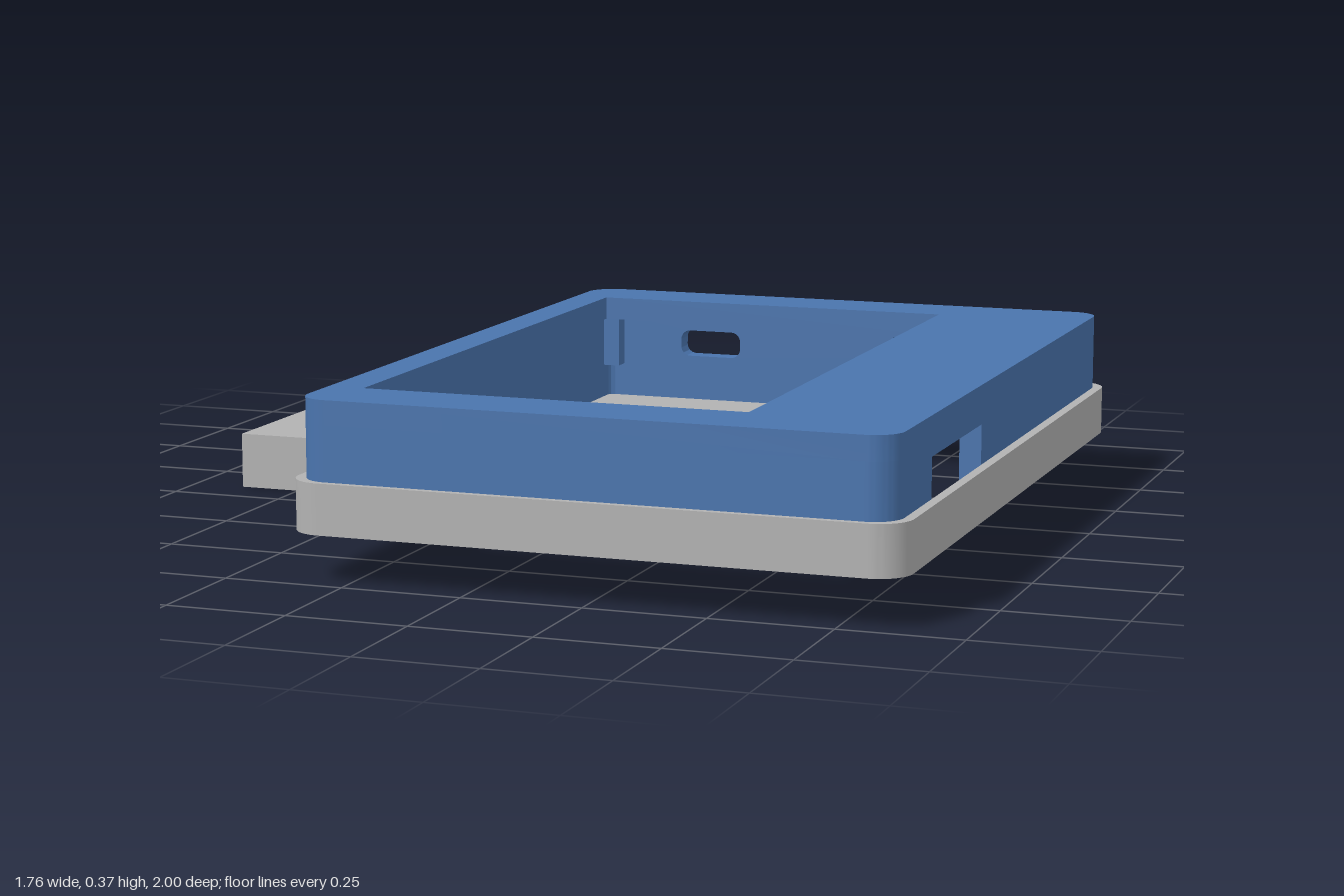
import * as THREE from 'three';
import { toCreasedNormals } from 'three/addons/utils/BufferGeometryUtils.js';

export function createModel() {
  const group = new THREE.Group();
  const blue = new THREE.MeshStandardMaterial({ color: 0x4a74ad });
  blue.name = 'blue plastic';
  const grey = new THREE.MeshStandardMaterial({ color: 0xb2b2b2 });
  grey.name = 'grey plastic';

  function add(name, geo, mat) {
    const mesh = new THREE.Mesh(toCreasedNormals(geo, 0.6), mat);
    mesh.name = name;
    group.add(mesh);
    return mesh;
  }
  const extrude = (shape, depth) =>
    new THREE.ExtrudeGeometry(shape, { depth, bevelEnabled: false, curveSegments: 8 });

  // plan outline (x, z) raised from y0 to y1
  const slab = (shape, y0, y1) =>
    extrude(shape, y1 - y0).rotateX(Math.PI / 2).translate(0, y1, 0);

  function rounded(Type, x0, x1, z0, z1, r) {
    const s = new Type();
    s.moveTo(x0 + r, z0);
    s.lineTo(x1 - r, z0);
    if (r) s.absarc(x1 - r, z0 + r, r, -Math.PI / 2, 0);
    s.lineTo(x1, z1 - r);
    if (r) s.absarc(x1 - r, z1 - r, r, 0, Math.PI / 2);
    s.lineTo(x0 + r, z1);
    if (r) s.absarc(x0 + r, z1 - r, r, Math.PI / 2, Math.PI);
    s.lineTo(x0, z0 + r);
    if (r) s.absarc(x0 + r, z0 + r, r, Math.PI, Math.PI * 1.5);
    return s;
  }

  // blue cover dimensions
  const X0 = -0.35, X1 = 0.86, Z0 = -0.675, Z1 = 0.985;
  const R = 0.06, T = 0.045, BOTTOM = 0.11, LID = 0.315, TOP = 0.365;

  // top bezel with offset screen window
  const bezel = rounded(THREE.Shape, X0, X1, Z0, Z1, R);
  bezel.holes.push(rounded(THREE.Path, -0.275, 0.525, -0.53, 0.83, 0));
  add('topBezel', slab(bezel, LID, TOP), blue);

  // back wall with a card slot and a rounded port
  const back = rounded(THREE.Shape, X0 + R, X1 - R, BOTTOM, LID, 0);
  back.holes.push(rounded(THREE.Path, 0.39, 0.63, 0.253, 0.292, 0));
  back.holes.push(rounded(THREE.Path, -0.125, 0.02, 0.222, 0.282, 0.022));
  add('backWall', extrude(back, T).translate(0, 0, Z0), blue);

  // plain front wall
  const front = rounded(THREE.Shape, X0 + R, X1 - R, BOTTOM, LID, 0);
  add('frontWall', extrude(front, T).translate(0, 0, Z1 - T), blue);

  // side walls, the left one notched from below
  const sideWall = (shape, x) => extrude(shape, T).rotateY(-Math.PI / 2).translate(x, 0, 0);
  const right = rounded(THREE.Shape, Z0 + R, Z1 - R, BOTTOM, LID, 0);
  add('rightWall', sideWall(right, X0 + T), blue);
  const left = new THREE.Shape([
    [Z0 + R, BOTTOM], [0.37, BOTTOM], [0.37, 0.285], [0.74, 0.285], [0.74, BOTTOM],
    [Z1 - R, BOTTOM], [Z1 - R, LID], [Z0 + R, LID],
  ].map(([a, b]) => new THREE.Vector2(a, b)));
  add('leftWall', sideWall(left, X1), blue);

  // rounded wall corners, each with a small inner post
  for (const sx of [-1, 1]) for (const sz of [-1, 1]) {
    const cx = sx < 0 ? X0 + R : X1 - R, cz = sz < 0 ? Z0 + R : Z1 - R;
    const a = sx > 0 ? (sz > 0 ? 0 : -Math.PI / 2) : (sz > 0 ? Math.PI / 2 : Math.PI);
    const corner = new THREE.Shape();
    corner.absarc(cx, cz, R, a, a + Math.PI / 2, false);
    corner.absarc(cx, cz, R - T, a + Math.PI / 2, a, true);
    add('wallCorner', slab(corner, BOTTOM, LID), blue);
    add('cornerPost', new THREE.BoxGeometry(0.04, 0.12, 0.04)
      .translate(cx - sx * 0.002, LID - 0.06, cz - sz * 0.002), blue);
  }

  // grey rim around the foot of the cover
  const rim = rounded(THREE.Shape, -0.37, 0.88, -0.692, 1, 0.07);
  rim.holes.push(rounded(THREE.Path, X0, X1, Z0, Z1, R));
  add('lowerRim', slab(rim, 0.1, 0.203), grey);

  // flat holder: floor, roof and wall around a pocket open at the front and left
  const plate = () => rounded(THREE.Shape, -0.885, 0.265, -1, 0.15, 0);
  add('holderFloor', slab(plate(), 0, 0.025), grey);
  add('holderRoof', slab(plate(), 0.1, 0.12), grey);
  const wall = new THREE.Shape();
  wall.moveTo(-0.885, 0.15);
  for (const [x, z] of [[-0.885, -1], [0.265, -1], [0.265, -0.84], [-0.04, -0.84],
    [-0.14, -0.93], [-0.33, -0.93], [-0.44, -0.84], [-0.67, -0.84]]) wall.lineTo(x, z);
  wall.quadraticCurveTo(-0.72, -0.84, -0.72, -0.79);
  wall.lineTo(-0.72, 0.15);
  add('holderWall', slab(wall, 0.025, 0.1), grey);

  return group;
}
